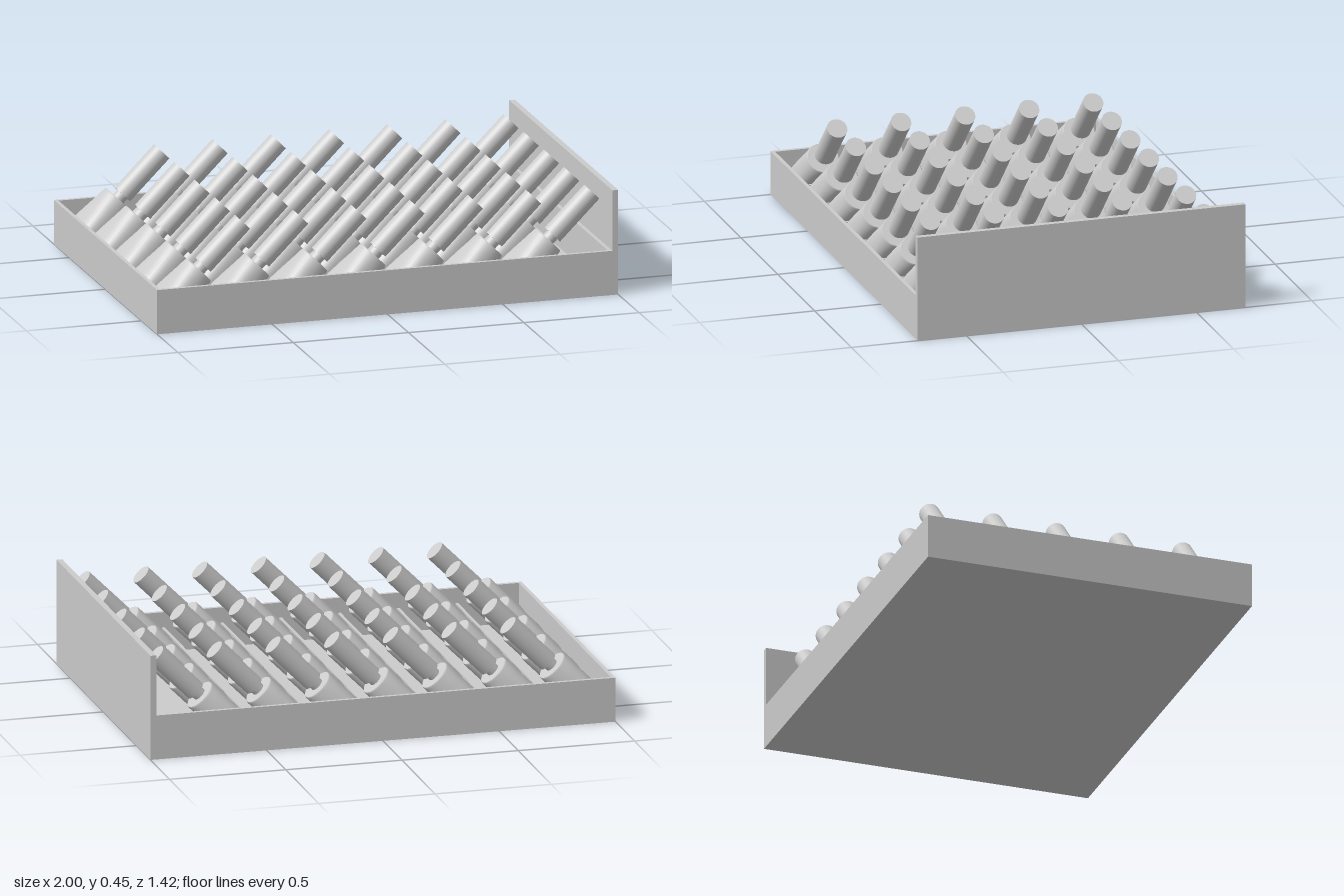
import * as THREE from 'three';

const material = new THREE.MeshStandardMaterial({ color: 0xcccccc });
const ROWS = 5, COLS = 7, ROW_STEP = 0.278, COL_STEP = 0.2525;

function add(parent, name, geometry, x = 0, y = 0, z = 0) {
  const mesh = new THREE.Mesh(geometry, material);
  mesh.name = name;
  mesh.position.set(x, y, z);
  parent.add(mesh);
  return mesh;
}

// Lofts rounded cross-sections [y, halfX, halfZ, squareness] and caps both ends.
function loft(sections, sides = 32) {
  const pos = [], idx = [];
  const ring = ([y, a, b, n]) => {
    const start = pos.length / 3;
    for (let i = 0; i < sides; i++) {
      const t = (i / sides) * Math.PI * 2, c = Math.cos(t), s = Math.sin(t);
      pos.push(a * Math.sign(c) * Math.abs(c) ** (2 / n), y, b * Math.sign(s) * Math.abs(s) ** (2 / n));
    }
    return start;
  };
  const starts = sections.map(ring);
  for (let k = 0; k + 1 < starts.length; k++) {
    for (let i = 0; i < sides; i++) {
      const j = (i + 1) % sides, p = starts[k], q = starts[k + 1];
      idx.push(p + i, q + i, p + j, p + j, q + i, q + j);
    }
  }
  const cap = (section, up) => {
    const start = ring(section), centre = pos.length / 3;
    pos.push(0, section[0], 0);
    for (let i = 0; i < sides; i++) {
      const a = start + i, b = start + (i + 1) % sides;
      idx.push(centre, up ? b : a, up ? a : b);
    }
  };
  cap(sections[0], false);
  cap(sections[sections.length - 1], true);
  const g = new THREE.BufferGeometry();
  g.setAttribute('position', new THREE.Float32BufferAttribute(pos, 3));
  g.setIndex(idx);
  g.computeVertexNormals();
  return g;
}

export function createModel() {
  const model = new THREE.Group();
  model.name = 'bottleTray';

  // Open tray with a tall panel at its left end
  const tray = new THREE.Group();
  tray.name = 'tray';
  model.add(tray);
  const wall = 0.016, right = -1, left = 0.975, depth = 1.425, height = 0.19;
  const mid = (left + right) / 2, length = left - right;
  add(tray, 'floor', new THREE.BoxGeometry(length, 0.02, depth), mid, 0.01, 0);
  for (const s of [-1, 1]) {
    add(tray, s > 0 ? 'frontWall' : 'backWall', new THREE.BoxGeometry(length, height, wall),
      mid, height / 2, s * (depth - wall) / 2);
    add(tray, s > 0 ? 'leftWall' : 'rightWall', new THREE.BoxGeometry(wall, height, depth - 2 * wall),
      mid + s * (length - wall) / 2, height / 2, 0);
  }
  add(tray, 'endPanel', new THREE.BoxGeometry(0.025, 0.45, depth), 0.9875, 0.225, 0);

  // Thin dividers between the columns
  const divider = new THREE.BoxGeometry(0.012, 0.11, depth - 2 * wall);
  for (let c = 0; c < COLS - 1; c++) add(tray, 'divider', divider, -0.717 + c * COL_STEP, 0.07, 0);

  // Bottle parts: a wide base narrowing to a round shoulder, a neck and a long cap
  const body = loft([
    [0, 0.068, 0.104, 3.2],
    [0.012, 0.07, 0.107, 3.2],
    [0.08, 0.07, 0.094, 2.8],
    [0.14, 0.07, 0.08, 2.4],
    [0.19, 0.07, 0.069, 2.1],
    [0.196, 0.067, 0.066, 2],
  ]);
  const neck = new THREE.CylinderGeometry(0.028, 0.028, 0.04, 24);
  const cap = new THREE.CylinderGeometry(0.043, 0.043, 0.241, 32);

  // Rows of bottles leaning toward the end panel
  for (let r = 0; r < ROWS; r++) {
    for (let c = 0; c < COLS; c++) {
      const bottle = new THREE.Group();
      bottle.name = 'bottle';
      add(bottle, 'bottleBody', body);
      add(bottle, 'bottleNeck', neck, 0, 0.209, 0);
      add(bottle, 'bottleCap', cap, 0, 0.3425, 0);
      bottle.rotation.z = -Math.PI / 4;
      bottle.position.set(-0.9085 + c * COL_STEP, 0.0785, (r - (ROWS - 1) / 2) * ROW_STEP);
      model.add(bottle);
    }
  }
  return model;
}
